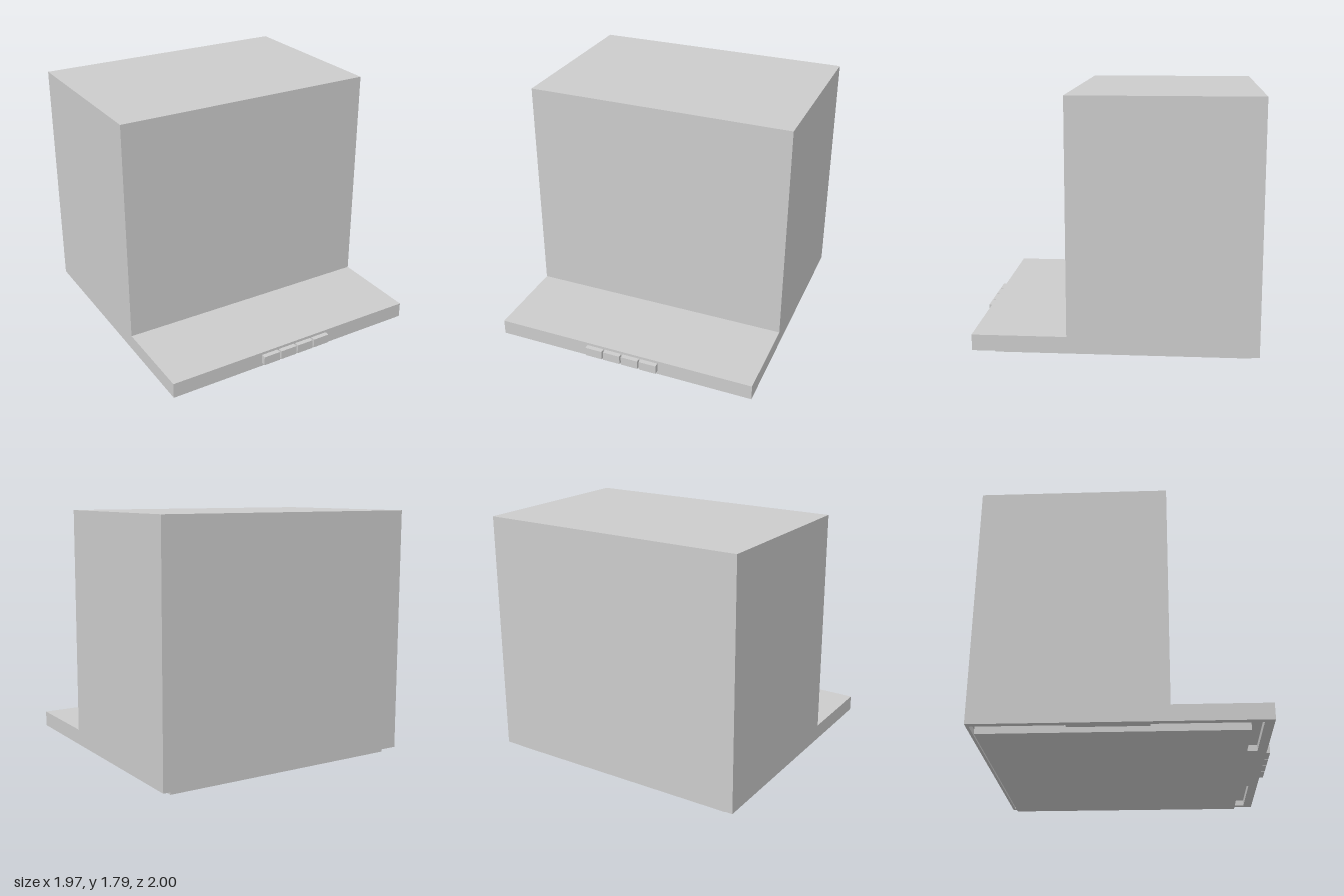
import * as THREE from 'three';

const material = new THREE.MeshStandardMaterial({ color: 0xcccccc, flatShading: true });

// Box given by its minimum and maximum corners
function block(name, [x0, y0, z0], [x1, y1, z1]) {
  const geometry = new THREE.BoxGeometry(x1 - x0, y1 - y0, z1 - z0);
  geometry.translate((x0 + x1) / 2, (y0 + y1) / 2, (z0 + z1) / 2);
  const mesh = new THREE.Mesh(geometry, material);
  mesh.name = name;
  return mesh;
}

// Traces a rectangle in plan; z is flipped so the extrusion can be laid flat
function planRect(path, x, zBack, zFront) {
  path.moveTo(-x, -zFront);
  path.lineTo(x, -zFront);
  path.lineTo(x, -zBack);
  path.lineTo(-x, -zBack);
  path.closePath();
  return path;
}

export function createModel() {
  const group = new THREE.Group();
  group.name = 'cookerHood';

  const halfWidth = 0.985, back = -1, front = 0.965;
  const under = 0.037, slotTop = 0.08, ledgeTop = 0.15;

  // Tall housing with the low ledge in front, as one side profile
  const profile = new THREE.Shape([
    [-front, slotTop], [-back, slotTop], [-back, 1.79],
    [-0.31, 1.79], [-0.31, ledgeTop], [-front, ledgeTop],
  ].map(([x, y]) => new THREE.Vector2(x, y)));
  const bodyGeometry = new THREE.ExtrudeGeometry(profile, { depth: 2 * halfWidth, bevelEnabled: false });
  bodyGeometry.translate(0, 0, -halfWidth).rotateY(Math.PI / 2);
  const body = new THREE.Mesh(bodyGeometry, material);
  body.name = 'housing';
  group.add(body);

  // Bottom rim around the suction opening
  const rimShape = planRect(new THREE.Shape(), halfWidth, back, front);
  rimShape.holes.push(planRect(new THREE.Path(), 0.94, -0.98, 0.9));
  const rimGeometry = new THREE.ExtrudeGeometry(rimShape, { depth: slotTop - under, bevelEnabled: false });
  rimGeometry.rotateX(-Math.PI / 2).translate(0, under, 0);
  const rim = new THREE.Mesh(rimGeometry, material);
  rim.name = 'bottomRim';
  group.add(rim);

  // Filter panel hanging slightly below the rim
  group.add(block('filterPanel', [-0.905, 0, -0.95], [0.905, slotTop, 0.82]));

  // Bridges that interrupt the slot at the front and sides
  group.add(block('frontBridge', [-0.4, under, 0.82], [0.4, slotTop, 0.9]));
  group.add(block('leftBridge', [0.905, under, -0.36], [0.94, slotTop, 0.18]));
  group.add(block('rightBridge', [-0.94, under, -0.36], [-0.905, slotTop, 0.18]));

  // Row of control buttons on the front edge
  const buttons = new THREE.Group();
  buttons.name = 'controlButtons';
  for (let i = 0; i < 4; i++) {
    const x = (i - 1.5) * 0.142;
    buttons.add(block('button', [x - 0.065, 0.063, front], [x + 0.065, 0.13, 1]));
  }
  group.add(buttons);

  return group;
}
